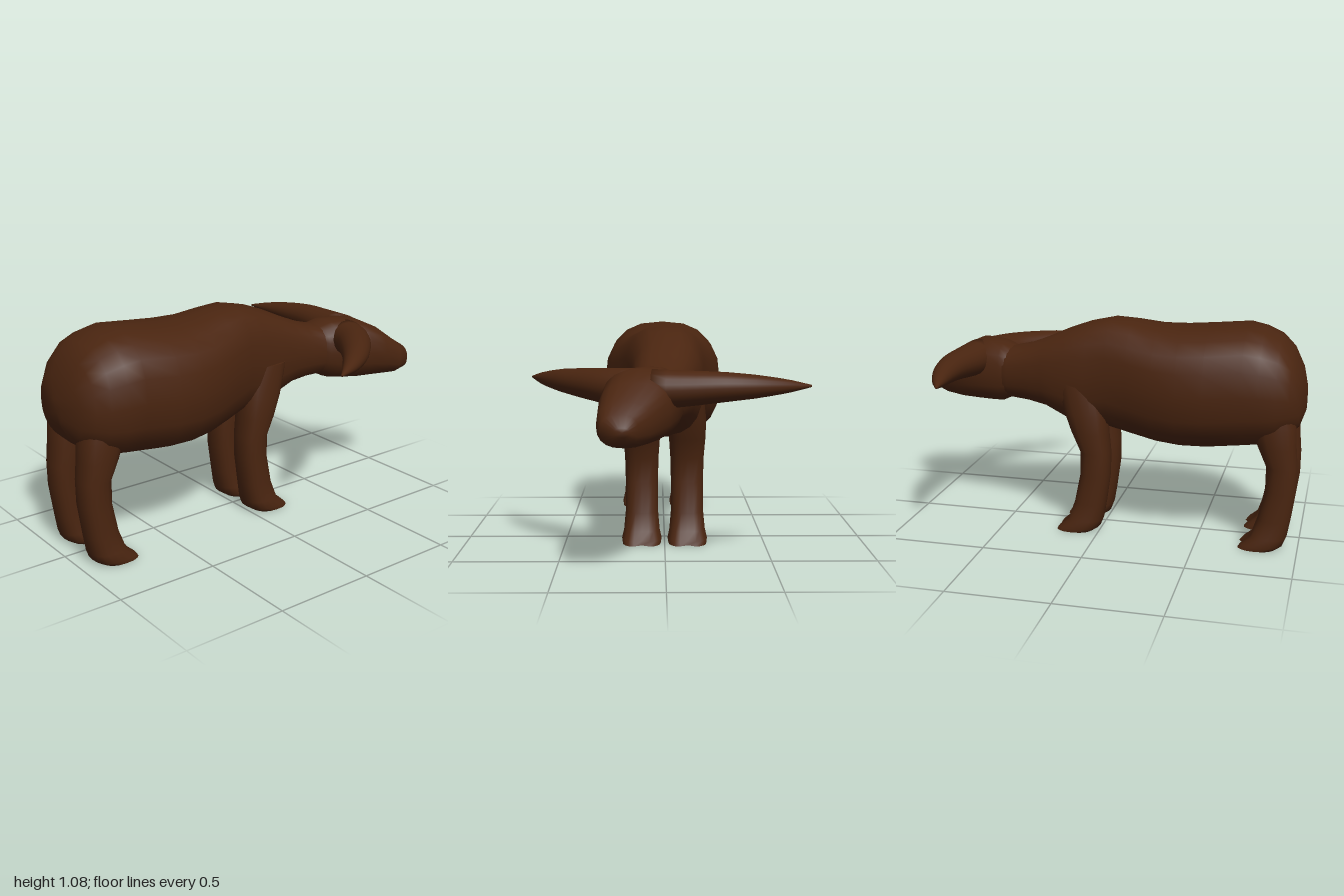
import * as THREE from 'three';
import { toCreasedNormals } from 'three/addons/utils/BufferGeometryUtils.js';

const SIDES = 20;

// Signed power, used to square off round cross-sections
const pw = (v, e) => Math.sign(v) * Math.pow(Math.abs(v), e);

// Skin a list of closed rings (arrays of Vector3) and cap both ends
function loft(rings) {
  const pos = [], index = [];
  rings.forEach(ring => ring.forEach(p => pos.push(p.x, p.y, p.z)));
  const last = rings.length - 1;
  for (let i = 0; i < last; i++) {
    for (let j = 0; j < SIDES; j++) {
      const k = (j + 1) % SIDES;
      const a = i * SIDES + j, b = i * SIDES + k;
      index.push(a, a + SIDES, b, b, a + SIDES, b + SIDES);
    }
  }
  for (const [i, flip] of [[0, false], [last, true]]) {
    const c = new THREE.Vector3();
    rings[i].forEach(p => c.addScaledVector(p, 1 / SIDES));
    const ci = pos.length / 3;
    pos.push(c.x, c.y, c.z);
    for (let j = 0; j < SIDES; j++) {
      const a = i * SIDES + j, b = i * SIDES + (j + 1) % SIDES;
      index.push(ci, flip ? b : a, flip ? a : b);
    }
  }
  const g = new THREE.BufferGeometry();
  g.setAttribute('position', new THREE.Float32BufferAttribute(pos, 3));
  g.setIndex(index);
  g.computeVertexNormals();
  return g;
}

// Ring made by calling fn(cos, sin) around the circle
function makeRing(fn) {
  return Array.from({ length: SIDES }, (_, j) => {
    const t = j / SIDES * Math.PI * 2;
    return fn(Math.cos(t), Math.sin(t));
  });
}

// Upright slices along z: [z, top, bottom, left edge, right edge]
function slices(rows) {
  return loft(rows.map(([z, top, bottom, x0, x1]) => makeRing((c, s) => new THREE.Vector3(
    (x0 + x1) / 2 + (x1 - x0) / 2 * pw(c, 0.8),
    (top + bottom) / 2 + (top - bottom) / 2 * pw(s, 0.8), z))));
}

// Tapered horn along a curve; each point is [x, y, z, radius]
function horn(points) {
  const curve = new THREE.CatmullRomCurve3(points.map(p => new THREE.Vector3(p[0], p[1], p[2])));
  const up = new THREE.Vector3(0, 1, 0);
  const steps = 12, n = points.length - 1;
  const rings = [];
  for (let i = 0; i <= steps; i++) {
    const t = i / steps, k = Math.min(Math.floor(t * n), n - 1);
    const r = THREE.MathUtils.lerp(points[k][3], points[k + 1][3], t * n - k);
    const c = curve.getPoint(t);
    const side = curve.getTangent(t).cross(up).normalize();
    rings.push(makeRing((a, b) => c.clone().addScaledVector(side, a * r).addScaledVector(up, b * r * 0.9)));
  }
  return loft(rings);
}

// Leg sections from hip to hoof: [y, back z, front z, x shift, half width, cleft]
const LEG = [
  [0.78, 0.93, 0.70, -0.01, 0.085, 0],
  [0.62, 0.965, 0.75, 0, 0.095, 0],
  [0.52, 0.97, 0.785, 0, 0.092, 0],
  [0.42, 0.98, 0.83, 0, 0.085, 0],
  [0.30, 0.98, 0.83, 0, 0.082, 0],
  [0.15, 0.96, 0.80, 0, 0.082, 0],
  [0.06, 0.945, 0.765, 0, 0.09, 0.15],
  [0.02, 0.93, 0.715, 0, 0.1, 0.3],
  [0, 0.90, 0.70, 0, 0.096, 0.35],
];

function leg(x, dz, mirror) {
  const rings = LEG.map(([y, back, front, shift, rx, cleft]) => makeRing((c, s) => {
    const notch = s > 0 ? 1 - cleft * Math.max(0, 1 - Math.abs(c) * 2.5) : 1;
    return new THREE.Vector3(
      mirror * (x + shift) + rx * pw(c, 0.8), y,
      (back + front) / 2 + dz - (back - front) / 2 * pw(s, 0.8) * notch);
  }));
  return toCreasedNormals(loft(rings), 1.0);
}

export function createModel() {
  const group = new THREE.Group();
  const hide = new THREE.MeshStandardMaterial({ color: 0x4a2510 });
  hide.name = 'brown hide';
  const add = (name, geometry) => {
    const mesh = new THREE.Mesh(geometry, hide);
    mesh.name = name;
    group.add(mesh);
  };

  // Barrel body running into the neck
  add('body', slices([
    [1.0, 0.79, 0.67, -0.05, 0.05],
    [0.975, 0.88, 0.60, -0.19, 0.19],
    [0.93, 0.97, 0.56, -0.235, 0.24],
    [0.87, 1.03, 0.52, -0.27, 0.275],
    [0.79, 1.065, 0.50, -0.29, 0.30],
    [0.71, 1.082, 0.49, -0.30, 0.312],
    [0.53, 1.065, 0.47, -0.312, 0.322],
    [0.40, 1.055, 0.467, -0.305, 0.315],
    [0.28, 1.055, 0.478, -0.28, 0.29],
    [0.15, 1.073, 0.505, -0.242, 0.248],
    [0.04, 1.083, 0.53, -0.212, 0.21],
    [-0.07, 1.06, 0.53, -0.2, 0.188],
    [-0.18, 1.02, 0.56, -0.187, 0.172],
    [-0.30, 0.965, 0.615, -0.155, 0.165],
    [-0.40, 0.925, 0.632, -0.125, 0.165],
    [-0.50, 0.90, 0.637, -0.095, 0.172],
    [-0.62, 0.88, 0.65, -0.06, 0.20],
  ]));

  // Head turned slightly to one side
  add('head', slices([
    [-0.44, 0.88, 0.66, -0.07, 0.13],
    [-0.50, 0.902, 0.635, -0.09, 0.185],
    [-0.55, 0.92, 0.61, -0.085, 0.205],
    [-0.62, 0.925, 0.605, -0.075, 0.245],
    [-0.70, 0.92, 0.602, -0.06, 0.285],
    [-0.80, 0.872, 0.60, -0.02, 0.295],
    [-0.90, 0.795, 0.60, 0.06, 0.297],
    [-0.97, 0.75, 0.618, 0.115, 0.28],
    [-1.0, 0.70, 0.66, 0.155, 0.215],
  ]));

  // Swept horns
  add('rightHorn', horn([
    [0.06, 0.83, -0.69, 0.1], [-0.1, 0.835, -0.705, 0.088], [-0.25, 0.842, -0.715, 0.075],
    [-0.4, 0.843, -0.702, 0.058], [-0.54, 0.842, -0.672, 0.034], [-0.65, 0.84, -0.64, 0.006],
  ]));
  add('leftHorn', horn([
    [0.14, 0.83, -0.64, 0.1], [0.26, 0.835, -0.58, 0.09], [0.375, 0.84, -0.485, 0.076],
    [0.48, 0.843, -0.38, 0.06], [0.57, 0.842, -0.265, 0.038], [0.648, 0.84, -0.14, 0.006],
  ]));

  // Four legs with cloven hooves
  for (const [side, m] of [['left', 1], ['right', -1]]) {
    add(side + 'HindLeg', leg(0.137, 0, m));
    add(side + 'ForeLeg', leg(0.115, -0.93, m));
  }
  return group;
}
